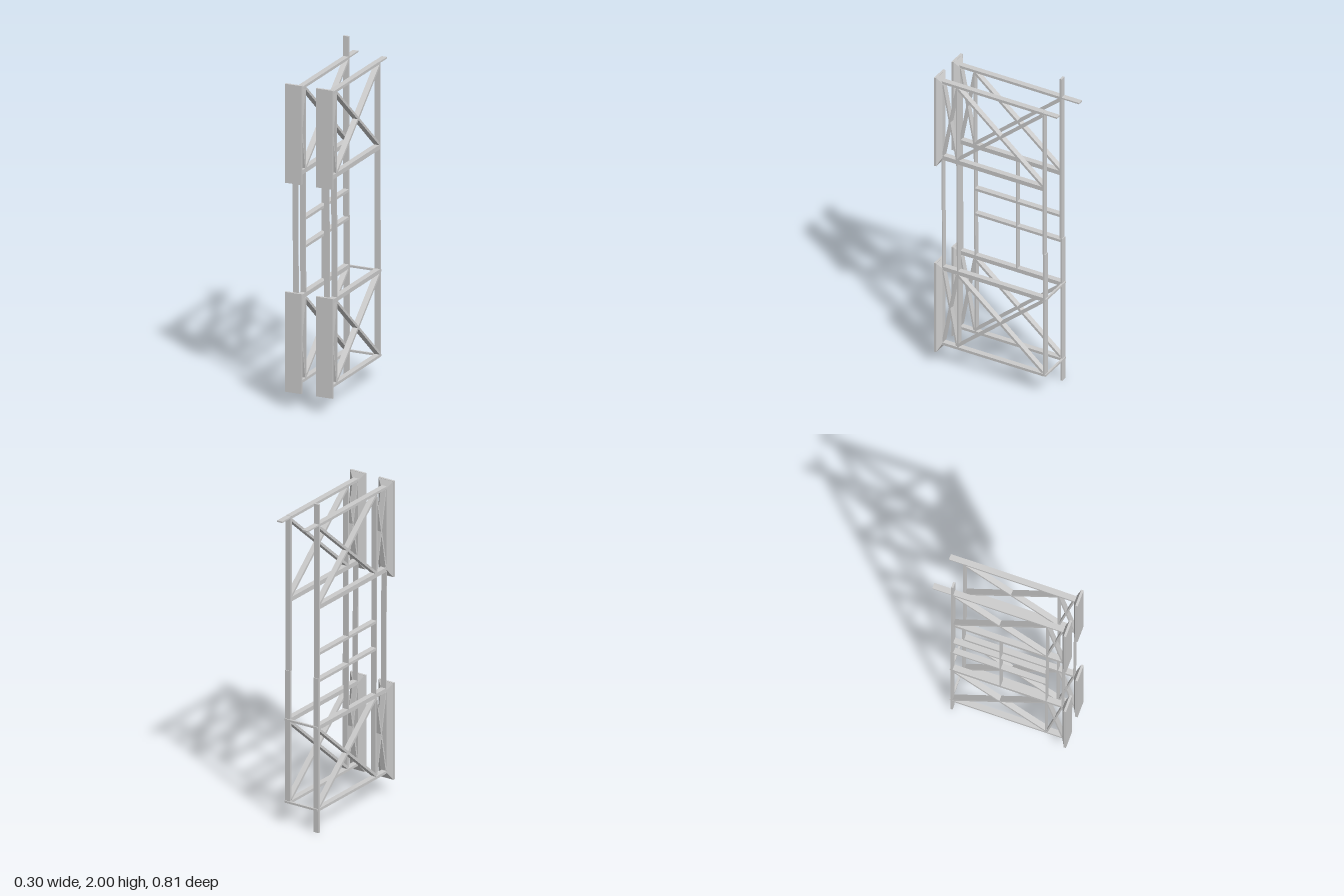
import * as THREE from 'three';

const W = 0.034; // width of every flat bar across x
const mat = new THREE.MeshStandardMaterial({ color: 0xcccccc, flatShading: true });

// Flat bar in the y-z plane from (z0, y0) to (z1, y1), t thick
function bar(group, name, x, z0, y0, z1, y1, t, w = W) {
  const dz = z1 - z0, dy = y1 - y0;
  const mesh = new THREE.Mesh(new THREE.BoxGeometry(w, t, Math.hypot(dz, dy)), mat);
  mesh.position.set(x, (y0 + y1) / 2, (z0 + z1) / 2);
  mesh.rotation.x = -Math.atan2(dy, dz);
  mesh.name = name;
  group.add(mesh);
}

// Pair of crossing bars filling a rectangle
function cross(group, name, x, z0, z1, y0, y1, t) {
  bar(group, name, x, z0, y0, z1, y1, t);
  bar(group, name, x, z0, y1, z1, y0, t, W - 0.001);
}

// Front pad: a thin plate with a tapered back
function pad(group, x, y0, y1) {
  const h = y1 - y0, y = (y0 + y1) / 2;
  const plate = new THREE.Mesh(new THREE.BoxGeometry(0.103, h, 0.014), mat);
  plate.position.set(x, y, 0.397);
  plate.name = 'padPlate';
  const geo = new THREE.BoxGeometry(0.1, h - 0.004, 0.02);
  const p = geo.attributes.position;
  for (let i = 0; i < p.count; i++) {
    if (p.getZ(i) < 0) {
      p.setX(i, Math.sign(p.getX(i)) * W / 2);
      p.setY(i, Math.sign(p.getY(i)) * (h / 2 - 0.045));
    }
  }
  geo.computeVertexNormals();
  const taper = new THREE.Mesh(geo, mat);
  taper.position.set(x, y, 0.38);
  taper.name = 'padTaper';
  group.add(plate, taper);
}

function sideFrame(x, tall) {
  const g = new THREE.Group();
  g.name = tall ? 'rightFrame' : 'leftFrame';

  // Back post, in two slightly offset lengths
  bar(g, 'backPostLower', x, -0.29, tall ? 0 : 0.135, -0.29, 0.94, 0.012);
  bar(g, 'backPostUpper', x, -0.286, 0.94, -0.286, tall ? 2 : 1.875, 0.012);

  // Long rails
  bar(g, 'bottomRail', x, 0.372, 0.14, -0.287, 0.14, 0.016);
  bar(g, 'lowerRail', x, 0.372, 0.64, -0.284, 0.64, 0.025);
  bar(g, 'upperRail', x, 0.375, 1.375, -0.284, 1.375, 0.027);
  bar(g, 'topRail', x, 0.375, 1.873, -0.284, 1.873, 0.016);
  bar(g, 'topRailEnd', x, -0.28, 1.875, tall ? -0.405 : -0.375, 1.875, 0.009);

  // Front uprights
  bar(g, 'innerPostLower', x, 0.27, 0.14, 0.27, 0.64, 0.008);
  bar(g, 'innerPostMiddle', x, 0.272, 0.64, 0.276, 1.375, 0.007);
  bar(g, 'innerPostUpper', x, 0.277, 1.375, 0.277, 1.873, 0.008);
  bar(g, 'frontPost', x, 0.368, 0.64, 0.373, 1.375, 0.006);

  // Braced bays and pads
  for (const y of [0.155, 1.39]) {
    cross(g, 'wideBrace', x, 0.272, -0.282, y, y + 0.47, 0.015);
    cross(g, 'narrowBrace', x, 0.368, 0.278, y, y + 0.47, 0.01);
  }
  pad(g, x, 0.095, 0.685);
  pad(g, x, 1.33, 1.915);

  // Rungs and their thin middle upright
  if (tall) {
    for (const y of [0.925, 1.09]) bar(g, 'rung', x, 0.275, y, -0.284, y, 0.016);
    bar(g, 'middleUpright', x, 0, 0.64, 0, 1.375, 0.006);
  }
  return g;
}

export function createModel() {
  const model = new THREE.Group();
  model.name = 'bracedFrame';
  model.add(sideFrame(-0.098, true), sideFrame(0.096, false));

  // Ties joining the two frames at the back
  for (const y of [0.14, 0.64]) bar(model, 'crossTie', 0, -0.29, y, -0.302, y, 0.012, 0.225);
  return model;
}
